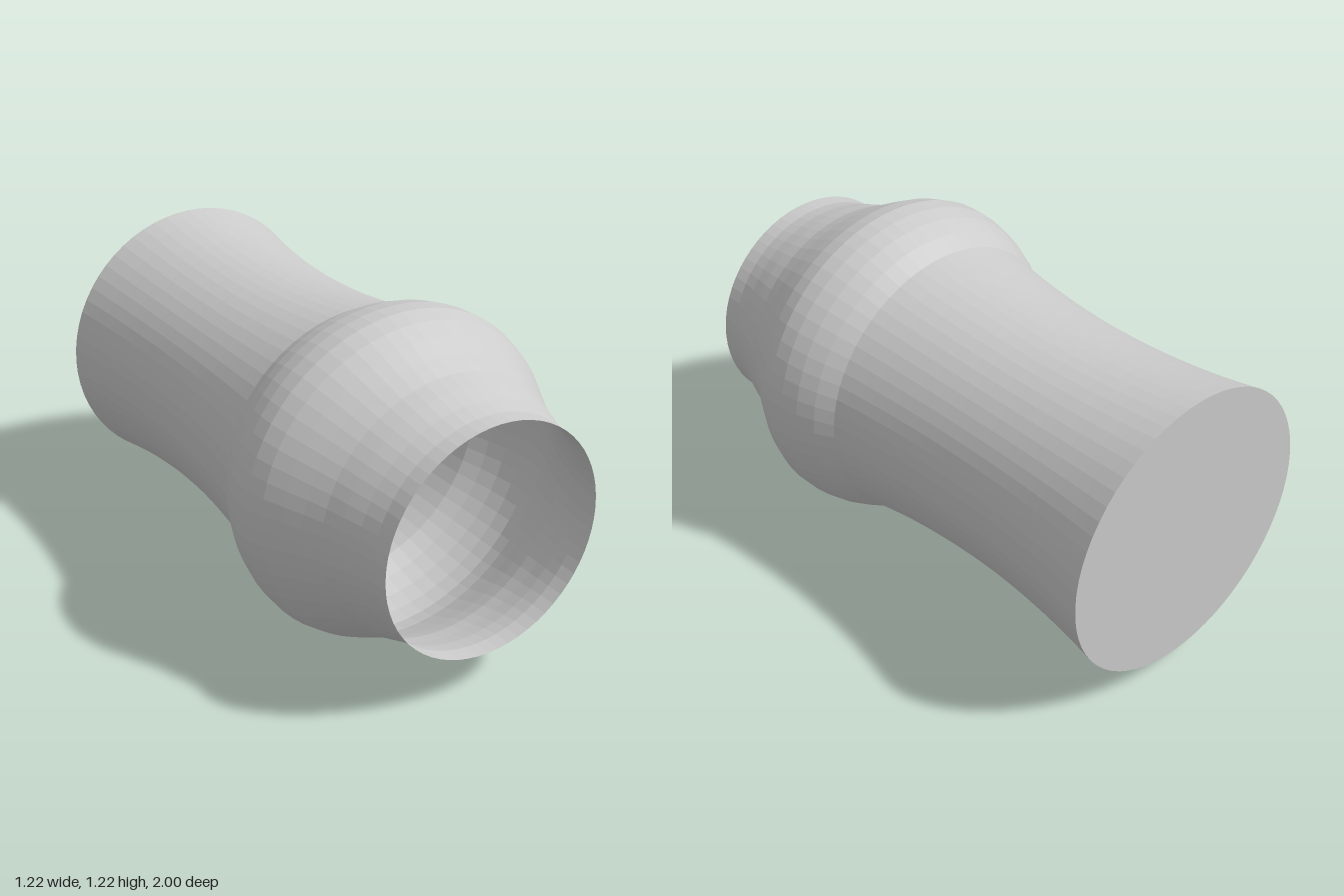
import * as THREE from 'three';

const SEGMENTS = 64;
const RADIUS = 0.613; // widest point, so the vase rests on y = 0

export function createModel() {
  const vase = new THREE.Group();
  vase.name = 'vase';
  const material = new THREE.MeshStandardMaterial({
    color: 0xcccccc, flatShading: true, side: THREE.DoubleSide,
  });

  const add = (name, geometry) => {
    const mesh = new THREE.Mesh(geometry, material);
    mesh.name = name;
    vase.add(mesh);
    return mesh;
  };

  // Waisted body: radius follows a shallow parabola along the axis
  const bodyProfile = [];
  for (let i = 0; i <= 24; i++) {
    const t = i / 12 - 1;
    bodyProfile.push(new THREE.Vector2(0.475 + 0.055 * t * t, -0.4 + 0.6 * t));
  }
  add('body', new THREE.LatheGeometry(bodyProfile, SEGMENTS));

  // Swollen shoulder narrowing to the short open neck
  const step = 0.8 / 12;
  const radii = [0.53, 0.567, 0.594, 0.609, 0.611, 0.597, 0.554, 0.522, 0.489, 0.468, 0.444, 0.427, 0.425];
  radii[5] = 0.592;
  radii[6] = 0.558;
  const bulbProfile = radii.map((r, i) => new THREE.Vector2(r, 0.2 + i * step));
  add('shoulderAndNeck', new THREE.LatheGeometry(bulbProfile, SEGMENTS));

  // Closed flat base
  const base = add('base', new THREE.CircleGeometry(0.53, SEGMENTS));
  base.rotation.x = Math.PI / 2;
  base.position.y = -1;

  // Lay the vase on its side with the mouth facing forward
  vase.rotation.x = Math.PI / 2;
  vase.position.y = RADIUS;

  const model = new THREE.Group();
  model.name = 'lyingVase';
  model.add(vase);
  return model;
}
